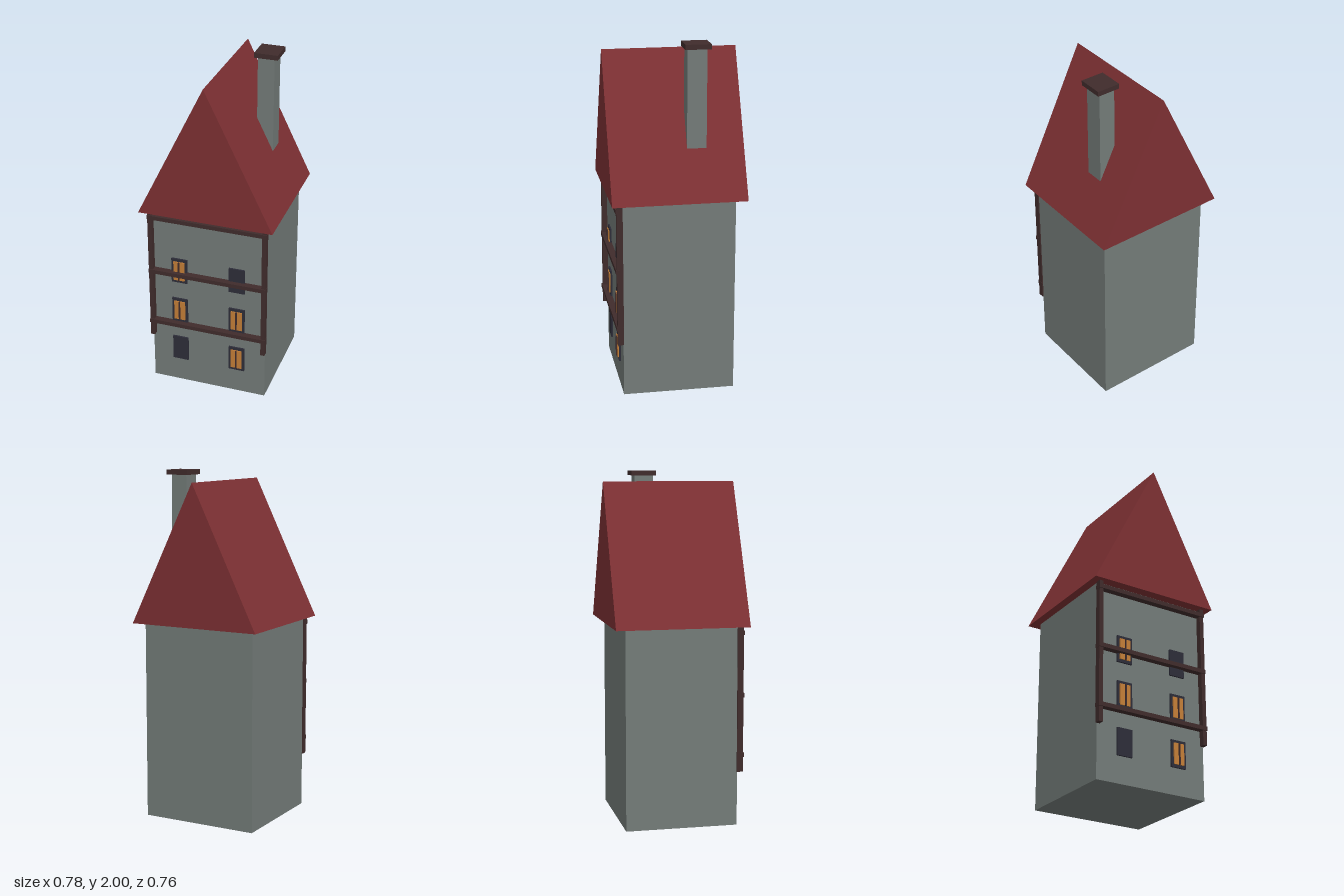
import * as THREE from 'three';

const mat = (name, color) => {
  const m = new THREE.MeshStandardMaterial({ color });
  m.name = name;
  return m;
};

export function createModel() {
  const house = new THREE.Group();
  house.name = 'townHouse';

  const stone = mat('greyStone', 0x737b78);
  const tile = mat('redTile', 0x7d3033);
  const wood = mat('darkWood', 0x402c2c);
  const frame = mat('darkFrame', 0x2d2d39);
  const glow = mat('warmGlass', 0xc47e38);

  const box = (parent, name, material, [w, h, d], [x, y, z]) => {
    const mesh = new THREE.Mesh(new THREE.BoxGeometry(w, h, d), material);
    mesh.name = name;
    mesh.position.set(x, y, z);
    parent.add(mesh);
    return mesh;
  };

  // Walls
  box(house, 'walls', stone, [0.688, 1.14, 0.64], [0, 0.57, 0]);

  // Gabled roof
  const gable = new THREE.Shape([
    new THREE.Vector2(-0.392, 1.14),
    new THREE.Vector2(0.392, 1.14),
    new THREE.Vector2(0, 1.94),
  ]);
  const roofGeometry = new THREE.ExtrudeGeometry(gable, { depth: 0.76, bevelEnabled: false });
  roofGeometry.translate(0, 0, -0.38);
  const roof = new THREE.Mesh(roofGeometry, tile);
  roof.name = 'roof';
  house.add(roof);

  // Chimney with its cap
  const chimney = new THREE.Group();
  chimney.name = 'chimney';
  box(chimney, 'chimneyStack', stone, [0.095, 0.67, 0.11], [0.208, 1.645, -0.113]);
  box(chimney, 'chimneyCap', wood, [0.135, 0.028, 0.144], [0.21, 1.986, -0.115]);
  house.add(chimney);

  // Timber frame on the front
  const timber = new THREE.Group();
  timber.name = 'timberFrame';
  for (const s of [-1, 1]) {
    box(timber, 'post', wood, [0.025, 0.83, 0.035], [s * 0.338, 0.725, 0.335]);
  }
  for (const y of [0.408, 0.75, 1.104]) {
    box(timber, 'crossBeam', wood, [0.704, 0.024, 0.04], [0, y, 0.338]);
  }
  house.add(timber);

  // Windows: [x side, centre height, lit]
  const windows = [
    [-1, 0.232, false], [1, 0.232, true],
    [-1, 0.5, true], [1, 0.5, true],
    [-1, 0.767, true], [1, 0.767, false],
  ];
  for (const [side, y, lit] of windows) {
    const win = new THREE.Group();
    win.name = lit ? 'litWindow' : 'darkWindow';
    win.position.set(side * 0.173, y, 0.32);
    box(win, 'windowFrame', frame, [0.094, 0.156, 0.02], [0, 0, 0]);
    if (lit) {
      box(win, 'windowPane', glow, [0.066, 0.122, 0.008], [0, 0, 0.012]);
      box(win, 'mullion', wood, [0.008, 0.122, 0.014], [0, 0, 0.016]);
    }
    house.add(win);
  }

  return house;
}
